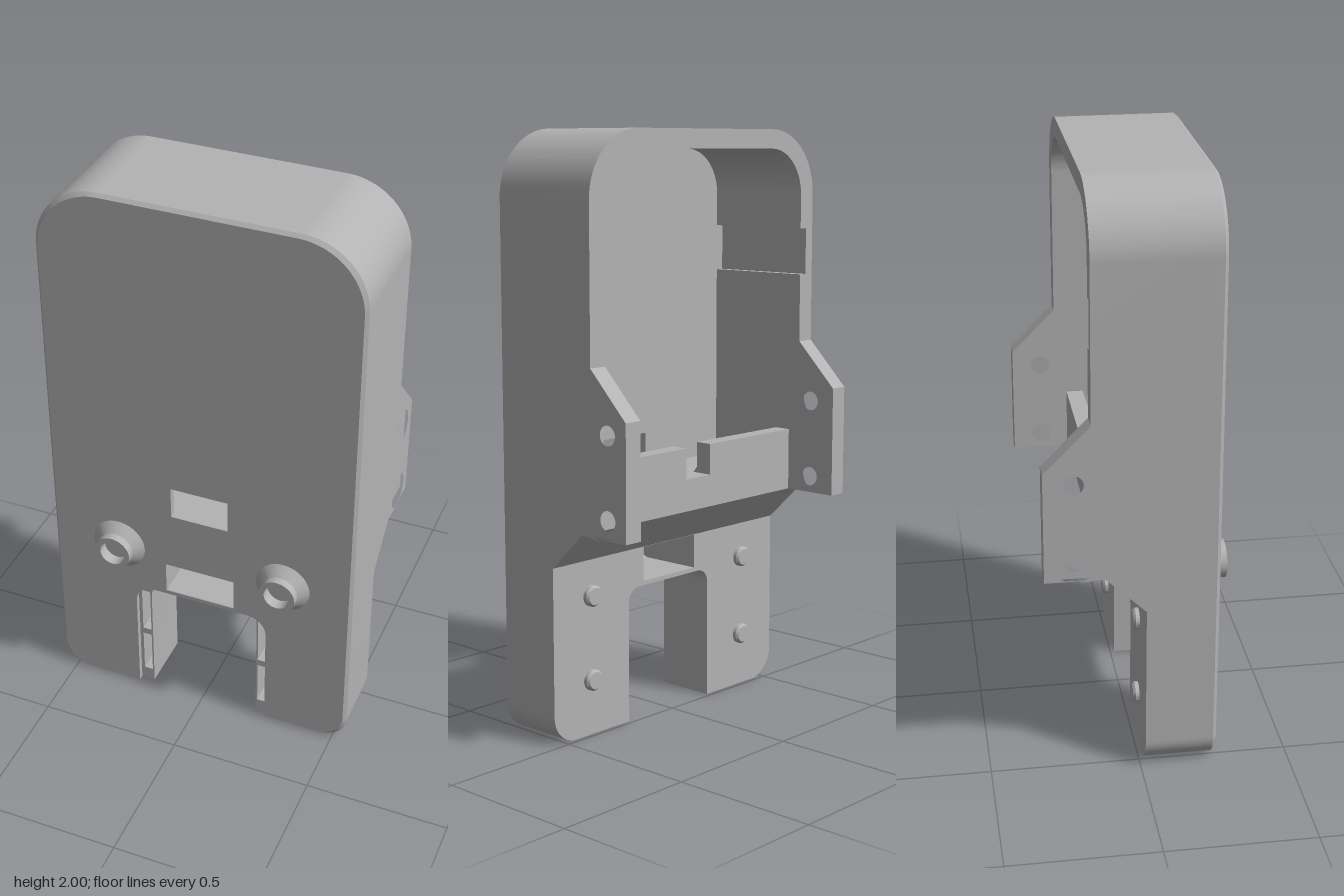
import * as THREE from 'three';
import { toCreasedNormals } from 'three/addons/utils/BufferGeometryUtils.js';

const W = 0.55, IN = 0.485, FRONT = 0.255, PLATE = 0.225, REAR = -0.163;

export function createModel() {
  const group = new THREE.Group();
  const grey = new THREE.MeshStandardMaterial({ color: 0xb3b3b3 });

  const add = (name, geo) => {
    const mesh = new THREE.Mesh(toCreasedNormals(geo, 0.5), grey);
    mesh.name = name;
    group.add(mesh);
    return mesh;
  };
  const poly = (pts) => new THREE.Shape(pts.map(([x, y]) => new THREE.Vector2(x, y)));
  const rect = (x0, x1, y0, y1) => poly([[x0, y0], [x1, y0], [x1, y1], [x0, y1]]);
  const circle = (x, y, r) => new THREE.Path().absarc(x, y, r, 0, Math.PI * 2, true);
  // Extrude an x-y shape between two depths
  const slab = (shape, z0, z1) =>
    new THREE.ExtrudeGeometry(shape, { depth: z1 - z0, bevelEnabled: false, curveSegments: 16 }).translate(0, 0, z0);
  // Extrude a side profile given as [z, y] between two x positions
  const sideSlab = (pts, x0, x1, holes = []) => {
    const s = poly(pts.map(([z, y]) => [-z, y]));
    s.holes.push(...holes.map(([z, y, r]) => circle(-z, y, r)));
    return new THREE.ExtrudeGeometry(s, { depth: x1 - x0, bevelEnabled: false, curveSegments: 16 })
      .rotateY(Math.PI / 2).translate(x0, 0, 0);
  };

  // Body outline with the leg cutout; the upper edge is round or cut flat
  const outline = (top, c, r, topR) => {
    const b = 0.1, ct = 0.465, s = new THREE.Shape();
    s.moveTo(c, 0);
    s.lineTo(W - b, 0);
    s.absarc(W - b, b, b, -Math.PI / 2, 0, false);
    if (topR) {
      s.absarc(W - topR, top - topR, topR, 0, Math.PI / 2, false);
      s.absarc(-W + topR, top - topR, topR, Math.PI / 2, Math.PI, false);
    } else {
      s.lineTo(W, top);
      s.lineTo(-W, top);
    }
    s.absarc(-W + b, b, b, Math.PI, Math.PI * 1.5, false);
    s.lineTo(-c, 0);
    s.absarc(-c + r, ct - r, r, Math.PI, Math.PI / 2, true);
    s.absarc(c - r, ct - r, r, Math.PI / 2, 0, true);
    s.closePath();
    return s;
  };
  const port = () => rect(-0.13, 0.127, 0.48, 0.6);

  // Front plate with two windows and a chamfered rim
  const plate = outline(2, 0.25, 0.07, 0.22);
  plate.holes.push(rect(-0.105, 0.105, 0.82, 0.94), port());
  add('frontPlate', slab(plate, PLATE, FRONT - 0.012));
  const rim = slab(plate, FRONT - 0.012, FRONT);
  const p = rim.attributes.position;
  for (let i = 0; i < p.count; i++) {
    if (p.getZ(i) > FRONT - 0.001) p.setXY(i, p.getX(i) * 0.98, 1 + (p.getY(i) - 1) * 0.989);
  }
  rim.computeVertexNormals();
  add('frontPlateFace', rim);

  // Lower legs: solid rear layer and a pocketed front layer
  const openPort = (s) => { s.holes.push(rect(-0.13, 0.127, 0.48, 0.599)); return s; };
  add('legsRear', slab(openPort(outline(0.6, 0.2, 0.05, 0)), 0.015, 0.14));
  const pocketed = openPort(outline(0.6, 0.2, 0.05, 0));
  for (const [y0, y1] of [[0.05, 0.22], [0.245, 0.425]]) {
    pocketed.holes.push(rect(0.206, 0.238, y0, y1), rect(-0.238, -0.206, y0, y1));
  }
  add('legsFront', slab(pocketed, 0.14, PLATE));

  // Upper wall running over the top, with a shallow slot on one inner side
  const yb = 1.265, ro = 0.22, ri = 0.16, it = 1.935;
  const wall = new THREE.Shape();
  wall.moveTo(IN, yb);
  wall.lineTo(W, yb);
  wall.absarc(W - ro, 2 - ro, ro, 0, Math.PI / 2, false);
  wall.absarc(-W + ro, 2 - ro, ro, Math.PI / 2, Math.PI, false);
  wall.lineTo(-W, yb);
  for (const [x, y] of [[-IN, yb], [-IN, 1.5], [-IN - 0.03, 1.5], [-IN - 0.03, 1.66], [-IN, 1.66]]) wall.lineTo(x, y);
  wall.absarc(-IN + ri, it - ri, ri, Math.PI, Math.PI / 2, true);
  wall.absarc(IN - ri, it - ri, ri, Math.PI / 2, 0, true);
  wall.closePath();
  add('upperWall', slab(wall, REAR, PLATE));

  // Side walls with rear ears and counterbored screw holes
  const ear = [[PLATE, 0.6], [PLATE, yb], [REAR, yb], [-0.315, 1.11], [-0.315, 0.73], [-0.12, 0.73], [0.015, 0.6]];
  const holes = (r) => [[-0.216, 1.057, r], [-0.216, 0.787, r]];
  for (const side of [1, -1]) {
    const layer = (name, a, b, r) =>
      add(name, sideSlab(ear, Math.min(a * side, b * side), Math.max(a * side, b * side), holes(r)));
    layer('sideWallInner', IN, 0.53, 0.033);
    layer('sideWallOuter', 0.53, W, 0.064);
  }

  // Shelf with sloped underside and a notched rear lip
  const under = [[-0.12, 0.73], [0.015, 0.6], [PLATE, 0.6], [PLATE, 0.82], [-0.03, 0.82]];
  const lip = [...under, [-0.06, 0.86], [-0.06, 0.946], [-0.12, 0.946]];
  const notch = [...under, [-0.045, 0.84], [-0.12, 0.84]];
  add('shelfRight', sideSlab(lip, -IN, -0.06));
  add('shelfNotch', sideSlab(notch, -0.06, 0.058));
  add('shelfLeft', sideSlab(lip, 0.058, IN));

  // Front bosses and rear pegs
  const boss = [[0, 0.02], [0.045, 0.02], [0.045, 0.06], [0.065, 0.06], [0.065, 0.032], [0.097, 0]]
    .reverse().map(([r, y]) => new THREE.Vector2(r, y));
  const peg = [[0.036, 0], [0.036, 0.013], [0.029, 0.021], [0, 0.021]].map(([r, y]) => new THREE.Vector2(r, y));
  for (const side of [1, -1]) {
    add('frontBoss', new THREE.LatheGeometry(boss, 40).rotateX(Math.PI / 2).translate(side * 0.303, 0.643, FRONT));
    for (const y of [0.19, 0.478]) {
      add('rearPeg', new THREE.LatheGeometry(peg, 28).rotateX(-Math.PI / 2).translate(side * 0.378, y, 0.015));
    }
  }
  return group;
}
